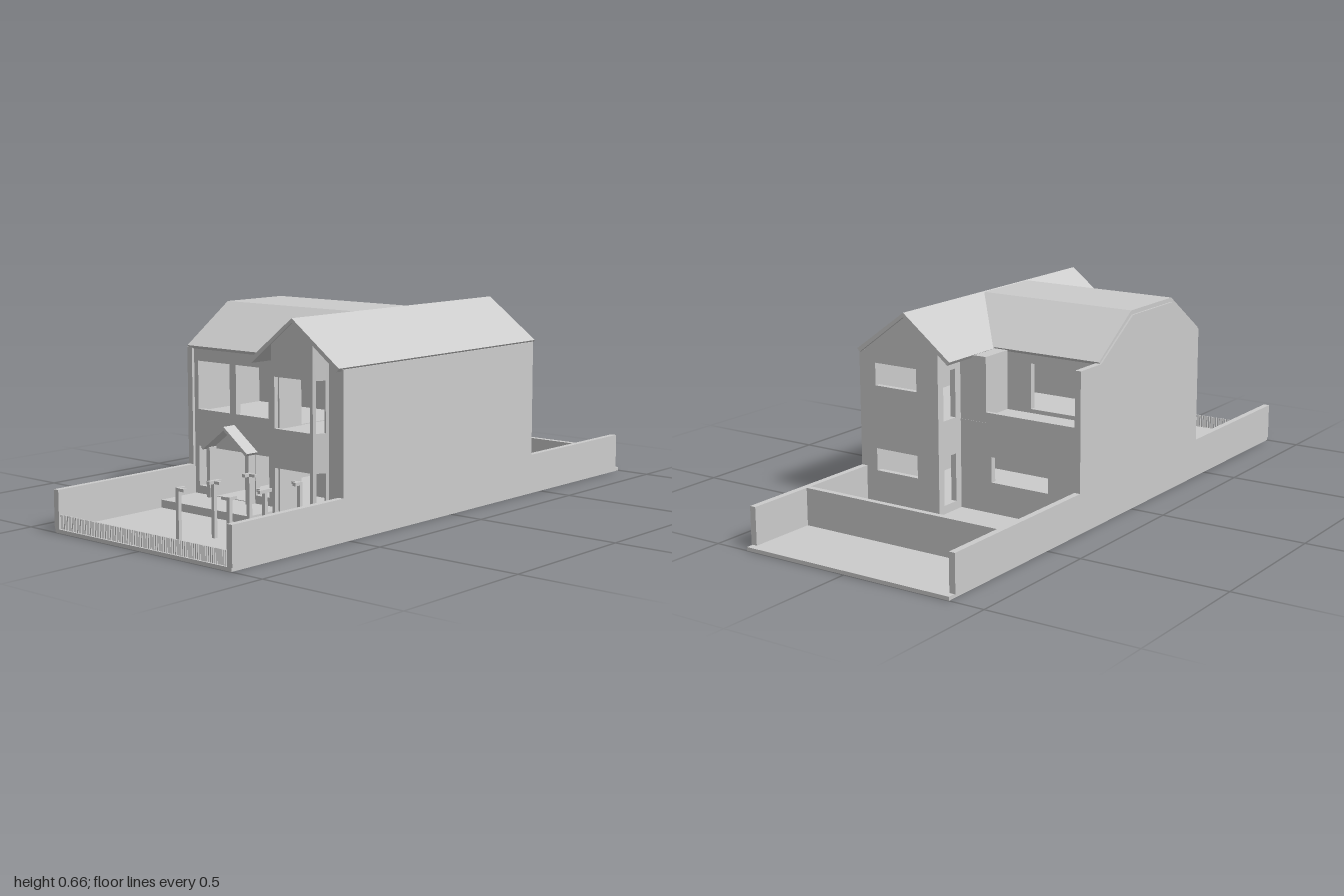
import * as THREE from 'three';

const mat = new THREE.MeshStandardMaterial({ color: 0xcccccc, flatShading: true, side: THREE.DoubleSide });

export function createModel() {
  const root = new THREE.Group();
  root.name = 'terraceHouse';

  const add = (name, geo) => {
    const m = new THREE.Mesh(geo, mat);
    m.name = name;
    root.add(m);
    return m;
  };

  // Box given by its two opposite corners
  const box = (name, x0, x1, y0, y1, z0, z1) =>
    add(name, new THREE.BoxGeometry(x1 - x0, y1 - y0, z1 - z0))
      .position.set((x0 + x1) / 2, (y0 + y1) / 2, (z0 + z1) / 2);

  const shapeOf = (pts, holes = []) => {
    const s = new THREE.Shape(pts.map(p => new THREE.Vector2(...p)));
    for (const [a, b, c, d] of holes) {
      s.holes.push(new THREE.Path([[a, c], [a, d], [b, d], [b, c]].map(p => new THREE.Vector2(...p))));
    }
    return s;
  };

  // Upright wall: outline in (u, y); u runs from the origin along the plan
  // direction, the outer face is on that line and thickness goes inward.
  // Holes are [u0, u1, y0, y1].
  const wall = (name, [ox, oz], [dx, dz], pts, holes, t = 0.02) => {
    const geo = new THREE.ExtrudeGeometry(shapeOf(pts, holes), { depth: t, bevelEnabled: false });
    geo.translate(0, 0, -t);
    const m = add(name, geo);
    m.rotation.y = Math.atan2(-dz, dx);
    m.position.set(ox, 0, oz);
  };
  const FRONT = [1, 0], BACK = [-1, 0], RIGHT = [0, 1], LEFT = [0, -1];
  const rect = (a, b, c, d) => [[a, c], [b, c], [b, d], [a, d]];

  const G = 0.012;                     // ground level
  const under = x => 0.65 - (x < 0.195 ? 0.8 : 0.73) * Math.abs(x - 0.195);

  // Ground slab
  box('groundSlab', -0.38, 0.38, 0, G, -1, 1);

  // Long party walls, u = -z on the +x side and u = z on the -x side
  wall('partyWallLeft', [0.384, 0], LEFT, [
    [-1, G], [0.975, G], [0.975, 0.135], [0.44, 0.135], [0.44, 0.522],
    [-0.53, 0.522], [-0.53, 0.135], [-1, 0.135]], [], 0.021);
  wall('partyWallRight', [-0.384, 0], RIGHT, [
    [-0.975, G], [1, G], [1, 0.135], [0.43, 0.135], [0.43, 0.525], [0.245, 0.648],
    [-0.01, 0.648], [-0.2, 0.525], [-0.32, 0.525], [-0.32, 0.135], [-0.975, 0.135]], [], 0.021);

  // Main block front with windows and door opening
  wall('mainFrontWall', [0, 0.42], FRONT, rect(-0.363, 0.08, G, 0.525), [
    [-0.345, -0.2, 0.32, 0.48], [-0.172, -0.028, 0.32, 0.48],
    [-0.345, -0.285, 0.065, 0.198], [-0.265, -0.105, 0.04, 0.198], [-0.087, -0.027, 0.065, 0.198]]);

  // Main block back: ground floor and recessed upper floor behind the balcony
  wall('mainBackWall', [0, -0.32], BACK, rect(-0.09, 0.363, G, 0.31), [[0.05, 0.265, 0.115, 0.2]]);
  wall('balconyBackWall', [0, -0.19], BACK, rect(-0.09, 0.363, 0.31, 0.53), [[0.115, 0.295, 0.34, 0.49]]);
  box('balconySlab', -0.363, 0.07, 0.3, 0.33, -0.319, -0.2);
  box('balconyParapet', -0.363, -0.03, 0.3, 0.345, -0.322, -0.308);
  box('balconyCheek', -0.03, 0.07, 0.33, 0.525, -0.32, -0.2);

  // Wing back gable (u = -x) and side walls with corner windows
  wall('wingBackGable', [0, -0.44], BACK, [
    [-0.363, G], [-0.07, G], [-0.07, under(0.07)], [-0.195, 0.65], [-0.363, under(0.363)]],
    [[-0.32, -0.155, 0.41, 0.485], [-0.32, -0.155, 0.125, 0.2]]);
  wall('wingSideWallBack', [0.07, 0], RIGHT, rect(-0.42, -0.2, G, 0.55),
    [[-0.412, -0.348, 0.32, 0.48], [-0.412, -0.348, 0.04, 0.2]]);
  wall('wingSideWallFront', [0.075, 0], RIGHT, rect(0.4, 0.5, G, 0.55), []);

  // Wing front: bay with two slanted sides, then a flat strip
  const storeys = (a, b) => [[a, b, 0.32, 0.48], [a, b, 0.04, 0.198]];
  wall('bayFront', [0, 0.545], FRONT, [
    [0.105, G], [0.275, G], [0.275, under(0.275)], [0.195, 0.65], [0.105, under(0.105)]],
    storeys(0.117, 0.263), 0.015);
  for (const [name, ax, az, bx, bz] of [
    ['baySideRight', 0.075, 0.5, 0.105, 0.545], ['baySideLeft', 0.275, 0.545, 0.3, 0.5]]) {
    const len = Math.hypot(bx - ax, bz - az);
    wall(name, [ax, az], [bx - ax, bz - az],
      [[0, G], [len, G], [len, under(bx)], [0, under(ax)]], storeys(len * 0.2, len * 0.8), 0.012);
  }
  wall('wingFrontStrip', [0, 0.5], FRONT,
    [[0.295, G], [0.364, G], [0.364, under(0.364)], [0.295, under(0.295)]], []);

  // Interior floors and partitions
  box('mainUpperFloor', -0.363, 0.08, 0.29, 0.31, -0.3, 0.4);
  box('wingUpperFloor', 0.09, 0.363, 0.29, 0.31, -0.42, 0.5);
  box('upperPartition', -0.363, 0.363, 0.31, 0.53, 0.1, 0.115);
  box('lowerPartition', -0.1, 0.363, G, 0.29, 0.1, 0.115);

  // Wing roof: folded slab running front to back
  const wingRoof = new THREE.ExtrudeGeometry(shapeOf([
    [0.025, 0.515], [0.195, 0.65], [0.375, 0.516], [0.384, 0.527], [0.195, 0.664], [0.017, 0.526]]),
    { depth: 1, bevelEnabled: false });
  wingRoof.translate(0, 0, -0.45);
  add('wingRoof', wingRoof);

  // Main roof: two slopes and a flat top, its inner end mitred to the wing valley
  const mainRoof = new THREE.ExtrudeGeometry(shapeOf([
    [-0.435, 0.53], [-0.425, 0.52], [-0.243, 0.648], [0.008, 0.648], [0.195, 0.52],
    [0.205, 0.53], [0.012, 0.662], [-0.247, 0.662]]), { depth: 1, bevelEnabled: false });
  mainRoof.rotateY(Math.PI / 2);
  const p = mainRoof.attributes.position;
  for (let i = 0; i < p.count; i++) {
    p.setX(i, p.getX(i) < 0.5 ? -0.378 : 0.025 + (p.getY(i) - 0.53) / 0.132 * 0.17);
  }
  mainRoof.computeVertexNormals();
  add('mainRoof', mainRoof);

  // Porch: small gable hood on two posts, with the front terrace step
  const hood = new THREE.ExtrudeGeometry(shapeOf([
    [-0.278, 0.199], [-0.181, 0.272], [-0.084, 0.199], [-0.077, 0.207], [-0.181, 0.284], [-0.285, 0.207]]),
    { depth: 0.06, bevelEnabled: false });
  hood.translate(0, 0, 0.41);
  add('porchRoof', hood);
  for (const x of [-0.28, -0.105]) box('porchPost', x, x + 0.015, G, 0.205, 0.41, 0.45);
  box('frontTerrace', -0.363, 0.032, G, 0.038, 0.42, 0.575);

  // Posts with cross-shaped caps along the front path
  for (const z of [0.62, 0.77, 0.915]) {
    const z0 = z > 0.8 ? z - 0.025 : z > 0.7 ? z - 0.025 : z - 0.006;
    const z1 = z > 0.8 ? z + 0.006 : z + 0.025;
    for (const [x, dir] of [[0.08, 1], [0.29, -1]]) {
      box('pathPost', x - 0.006, x + 0.006, G, 0.18, z - 0.006, z + 0.006);
      box('postCapLong', x - 0.006, x + 0.006, 0.178, 0.188, z0, z1);
      const xe = x + dir * 0.028;
      box('postCapCross', Math.min(x, xe), Math.max(x, xe), 0.178, 0.187, z - 0.006, z + 0.006);
    }
  }

  // Front picket fence
  const pickets = 96;
  for (let i = 0; i < pickets; i++) {
    const x = -0.36 + 0.72 * i / (pickets - 1);
    box('picket', x - 0.0015, x + 0.0015, G, 0.057, 0.988, 0.994);
  }

  // Rear garden cross wall
  box('gardenWall', -0.363, 0.363, G, 0.135, -0.74, -0.72);

  return root;
}
